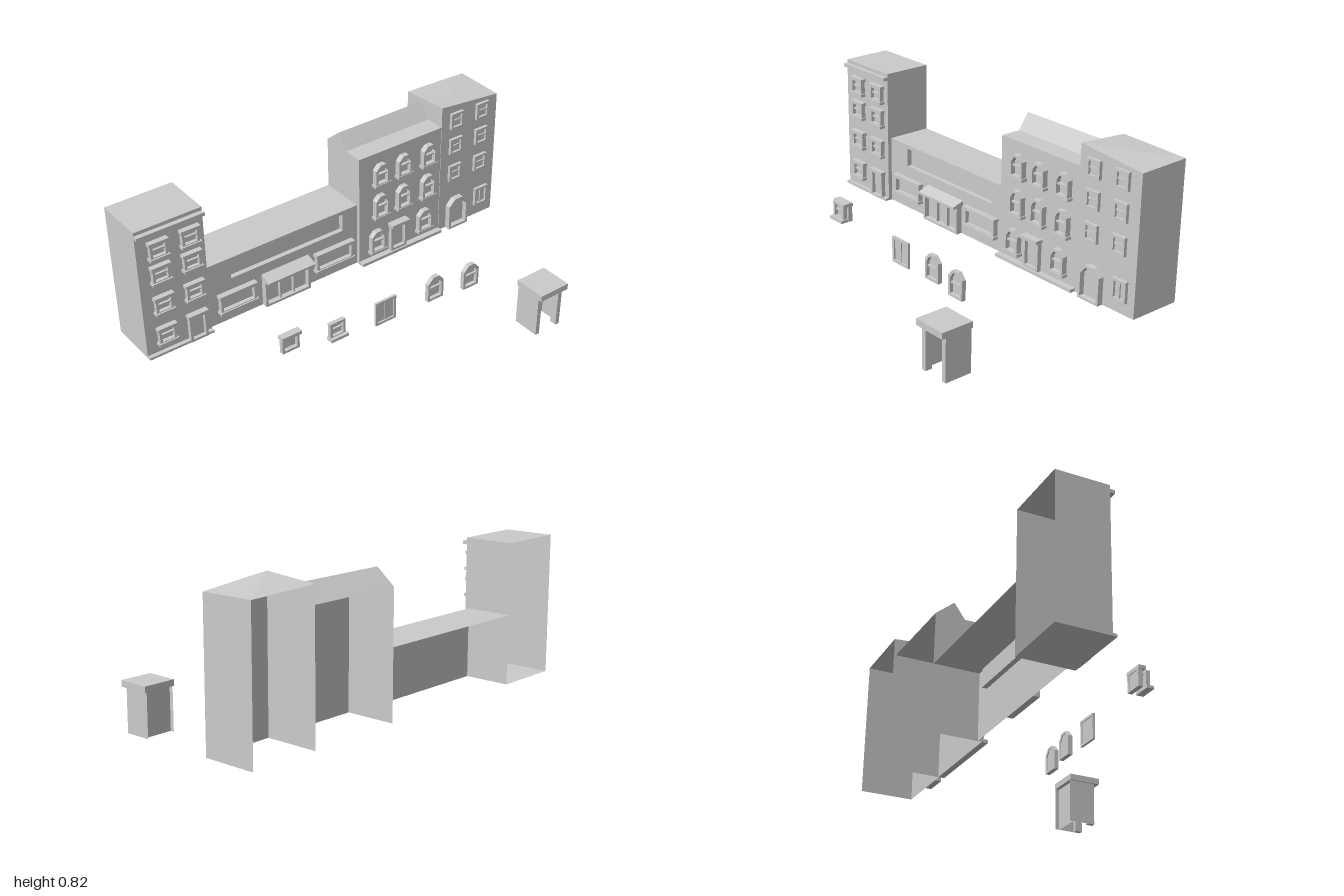
import * as THREE from 'three';

const mat = new THREE.MeshStandardMaterial({ color: 0xcccccc, flatShading: true, side: THREE.DoubleSide });

function add(parent, name, geo) {
  const m = new THREE.Mesh(geo, mat);
  m.name = name;
  parent.add(m);
  return m;
}

// Box given by its limits
function box(parent, name, x0, x1, y0, y1, z0, z1) {
  const m = add(parent, name, new THREE.BoxGeometry(x1 - x0, y1 - y0, z1 - z0));
  m.position.set((x0 + x1) / 2, (y0 + y1) / 2, (z0 + z1) / 2);
  return m;
}

// Thin sheet through corners given in order
function sheet(parent, name, ...pts) {
  const g = new THREE.BufferGeometry();
  g.setAttribute('position', new THREE.Float32BufferAttribute(pts.flat(), 3));
  g.setIndex(pts.length === 4 ? [0, 1, 2, 0, 2, 3] : [0, 1, 2]);
  g.computeVertexNormals();
  return add(parent, name, g);
}

// Rectangle or pointed outline, drawn from its bottom centre
function outline(w, h, point, inset = 0) {
  const a = w / 2 - inset, t = h - inset, p = [[-a, inset], [a, inset]];
  if (point) p.push([a, t - point], [a * 0.4, t], [-a * 0.4, t], [-a, t - point]);
  else p.push([a, t], [-a, t]);
  return p.map(([x, y]) => new THREE.Vector2(x, y));
}

// Window or door facing +x: frame, pane, bars, sill and lintel
function opening(parent, name, x, z, y, w, h, o = {}) {
  const { depth = 0.022, point = 0, border = 0.012, bar = true, mullions = 0, sill = 0, lintel = 0 } = o;
  const g = new THREE.Group();
  g.name = name;
  const s = new THREE.Shape(outline(w, h, point));
  s.holes.push(new THREE.Path(outline(w, h, point, border)));
  add(g, 'frame', new THREE.ExtrudeGeometry(s, { depth, bevelEnabled: false })).rotation.y = Math.PI / 2;
  const pane = add(g, 'pane', new THREE.ShapeGeometry(new THREE.Shape(outline(w, h, point, border))));
  pane.rotation.y = Math.PI / 2;
  pane.position.x = 0.004;
  const in2 = w / 2 - border;
  if (bar) box(g, 'crossBar', 0.004, depth * 0.7, h * 0.47, h * 0.47 + 0.008, -in2, in2);
  for (let i = 1; i <= mullions; i++) {
    const c = -in2 + (2 * in2 * i) / (mullions + 1);
    box(g, 'mullion', 0.004, depth * 0.7, border, h - border, c - 0.004, c + 0.004);
  }
  if (sill) box(g, 'sill', 0, sill, -0.006, 0.008, -w / 2 - 0.006, w / 2 + 0.006);
  if (lintel) box(g, 'lintel', 0, lintel, h - 0.01, h + 0.006, -w / 2 - 0.006, w / 2 + 0.006);
  g.position.set(x, y, z);
  parent.add(g);
  return g;
}

const BASE = 0.13, BACK = -0.53;

// Shell with an open back and open underside; roof heights in the order
// back/far, front/far, front/near, back/near (far is the lower z)
function shell(parent, back, front, z0, z1, [a, b, c, d]) {
  const P = (x, y, z) => [x, y, z];
  sheet(parent, 'roof', P(back, a, z0), P(back, d, z1), P(front, c, z1), P(front, b, z0));
  sheet(parent, 'facade', P(front, BASE, z1), P(front, BASE, z0), P(front, b, z0), P(front, c, z1));
  sheet(parent, 'nearWall', P(back, BASE, z1), P(front, BASE, z1), P(front, c, z1), P(back, d, z1));
  sheet(parent, 'farWall', P(front, BASE, z0), P(back, BASE, z0), P(back, a, z0), P(front, b, z0));
}

function section(root, name) {
  const g = new THREE.Group();
  g.name = name;
  root.add(g);
  return g;
}

function endBlock(root) {
  const g = section(root, 'endBlock'), f = -0.285;
  shell(g, BACK, f, 0.67, 1, [0.795, 0.795, 0.795, 0.795]);
  sheet(g, 'floor', [BACK, BASE, 0.67], [f, BASE, 0.67], [f, BASE, 1], [BACK, BASE, 1]);
  box(g, 'cornice', f, -0.262, 0.762, 0.778, 0.67, 1);
  box(g, 'plinth', f, -0.265, BASE, 0.142, 0.67, 1);
  [0.64, 0.515, 0.355, 0.19].forEach((y, row) => {
    opening(g, 'window', f, 0.9, y, 0.085, 0.08, { sill: 0.03, lintel: 0.026 });
    if (row < 3) opening(g, 'window', f, 0.745, y, 0.085, 0.08, { sill: 0.03, lintel: 0.026 });
  });
  opening(g, 'door', f, 0.745, BASE, 0.09, 0.14, { bar: false, lintel: 0.03 });
}

function lowShop(root) {
  const g = section(root, 'lowShop'), f = -0.305, z0 = -0.165, z1 = 0.67, top = 0.46;
  sheet(g, 'roof', [BACK, top, z0], [BACK, top, z1], [f, top, z1], [f, top, z0]);
  // Facade with a long recessed panel
  const rect = (C, u0, u1, v0, v1) =>
    new C([[u0, v0], [u1, v0], [u1, v1], [u0, v1]].map(([x, y]) => new THREE.Vector2(x, y)));
  const s = rect(THREE.Shape, -z1, -z0, BASE, top);
  s.holes.push(rect(THREE.Path, -0.54, 0.08, 0.35, 0.44));
  const wall = add(g, 'facade', new THREE.ShapeGeometry(s));
  wall.rotation.y = Math.PI / 2;
  wall.position.x = f;
  const r = -0.33, o = [[0.35, 0.54], [0.35, -0.08], [0.44, -0.08], [0.44, 0.54]];
  sheet(g, 'recessedPanel', ...o.map(([y, z]) => [r, y, z]));
  o.forEach(([y, z], i) => {
    const [v, w] = o[(i + 1) % 4];
    sheet(g, 'recessEdge', [f, y, z], [f, v, w], [r, v, w], [r, y, z]);
  });
  opening(g, 'shopWindow', f, 0.52, 0.195, 0.19, 0.09, { bar: false, sill: 0.032, lintel: 0.03, depth: 0.025 });
  opening(g, 'shopDoors', f, 0.255, BASE, 0.25, 0.15, { bar: false, mullions: 2, depth: 0.03 });
  // Sloping canopy above the doors
  const c = new THREE.Shape([[0, 0], [0.06, 0], [0.06, 0.012], [0, 0.032]].map(([x, y]) => new THREE.Vector2(x, y)));
  const canopy = add(g, 'canopy', new THREE.ExtrudeGeometry(c, { depth: 0.26, bevelEnabled: false }));
  canopy.position.set(f, 0.268, 0.12);
  opening(g, 'shopWindow', f, -0.02, 0.195, 0.21, 0.09, { bar: false, sill: 0.032, lintel: 0.03, depth: 0.025 });
}

function gabledBlock(root) {
  const g = section(root, 'gabledBlock'), f = -0.285, z0 = -0.655, z1 = -0.165, y = 0.715;
  shell(g, BACK, f, z0, z1, [y, y, y, y]);
  // Ridge along the back of the roof
  const ridge = [-0.44, 0.79], foot = [-0.385, y], rear = [BACK, y];
  sheet(g, 'frontSlope', [...foot, z1], [...foot, z0], [...ridge, z0], [...ridge, z1]);
  sheet(g, 'backSlope', [...rear, z0], [...rear, z1], [...ridge, z1], [...ridge, z0]);
  sheet(g, 'gableEnd', [...rear, z1], [...foot, z1], [...ridge, z1]);
  box(g, 'plinth', f, -0.255, BASE, 0.145, z0, z1);
  const pointed = { point: 0.025, depth: 0.028, sill: 0.032 };
  for (const z of [-0.285, -0.42, -0.57]) {
    opening(g, 'pointedWindow', f, z, 0.55, 0.08, 0.11, pointed);
    opening(g, 'pointedWindow', f, z, 0.37, 0.08, 0.12, pointed);
  }
  opening(g, 'pointedWindow', f, -0.265, 0.18, 0.085, 0.115, pointed);
  opening(g, 'door', f, -0.39, 0.145, 0.095, 0.15, { bar: false, lintel: 0.04 });
  opening(g, 'pointedWindow', f, -0.555, 0.185, 0.085, 0.115, pointed);
}

function tallBlock(root) {
  const g = section(root, 'tallBlock'), f = -0.282;
  shell(g, -0.54, f, -1, -0.655, [0.79, 0.787, 0.82, 0.8]);
  for (const y of [0.69, 0.55, 0.4]) {
    for (const z of [-0.742, -0.902]) opening(g, 'window', f, z, y, 0.075, 0.085, { depth: 0.016 });
  }
  opening(g, 'window', f, -0.92, 0.19, 0.08, 0.1, { bar: false, mullions: 1, depth: 0.016 });
  opening(g, 'pointedDoor', f, -0.76, BASE, 0.12, 0.165, { point: 0.035, depth: 0.03, bar: false });
}

// Loose parts standing apart from the row
function looseParts(root) {
  const g = section(root, 'looseParts');
  opening(g, 'looseWindow', 0.093, 0.51, 0.19, 0.09, 0.09, { bar: false, depth: 0.022, lintel: 0.035 });
  opening(g, 'looseWindow', 0.23, 0.355, 0.28, 0.08, 0.08, { depth: 0.02, sill: 0.036 });
  opening(g, 'looseDoor', 0.143, 0.018, 0.14, 0.115, 0.125, { bar: false, mullions: 1, depth: 0.012 });
  opening(g, 'loosePointedWindow', 0.167, -0.245, 0.17, 0.09, 0.125, { point: 0.03, depth: 0.022 });
  opening(g, 'loosePointedWindow', 0.194, -0.435, 0.17, 0.09, 0.125, { point: 0.03, depth: 0.022 });

  // Porch: two side walls, a set-back door and an overhanging slab
  const p = section(g, 'porch');
  box(p, 'slab', 0.38, 0.54, 0.21, 0.24, -0.74, -0.575);
  for (const [z, s] of [[-0.732, 1], [-0.583, -1]]) {
    sheet(p, 'sideWall', [0.38, 0, z], [0.515, 0, z], [0.515, 0.21, z], [0.38, 0.21, z]);
    box(p, 'jamb', 0.48, 0.515, 0, 0.21, Math.min(z, z + s * 0.022), Math.max(z, z + s * 0.022));
  }
  sheet(p, 'doorPanel', [0.4, 0, -0.583], [0.4, 0, -0.732], [0.4, 0.21, -0.732], [0.4, 0.21, -0.583]);
}

export function createModel() {
  const root = new THREE.Group();
  root.name = 'streetRow';
  endBlock(root);
  lowShop(root);
  gabledBlock(root);
  tallBlock(root);
  looseParts(root);
  return root;
}
